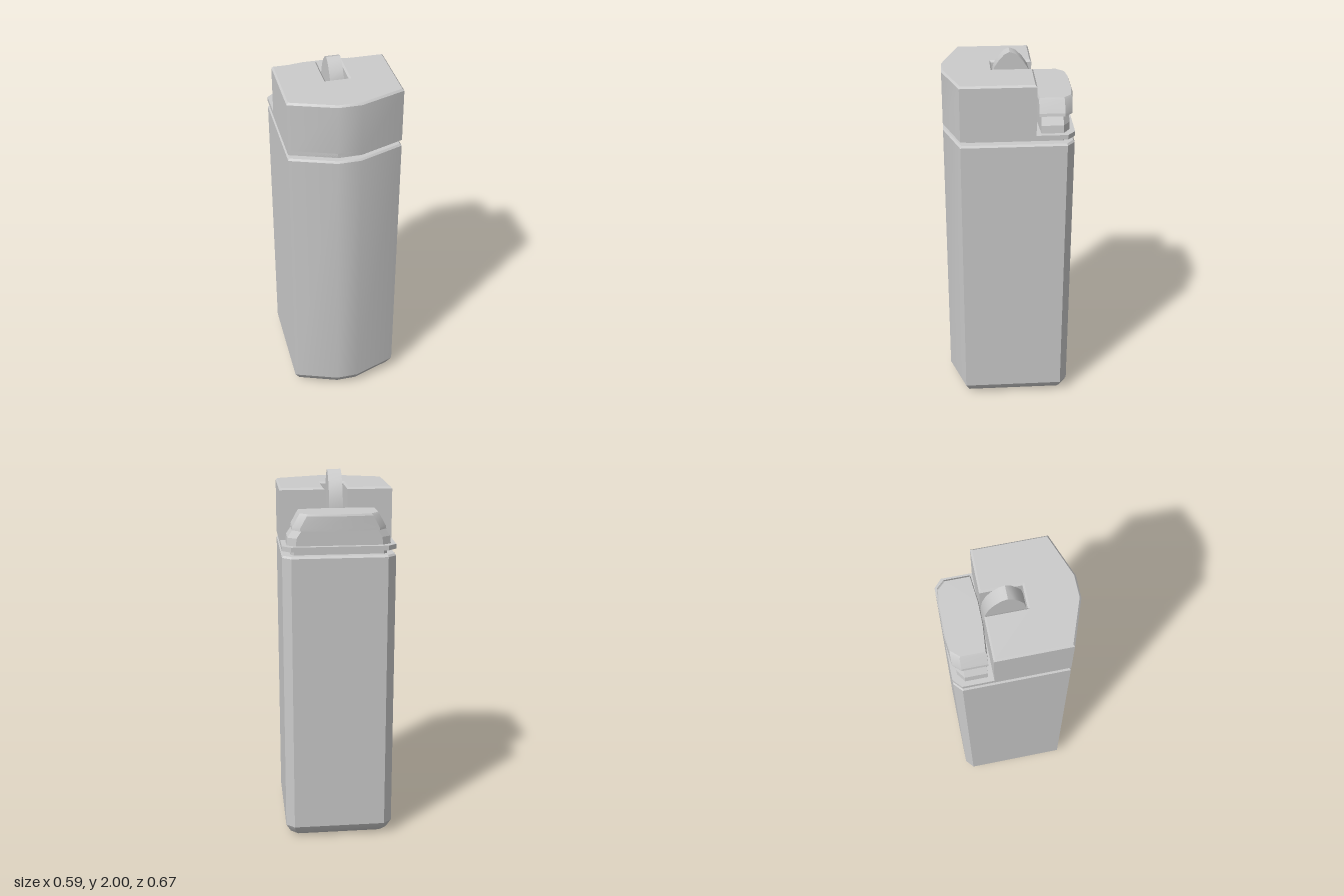
import * as THREE from 'three';
import { toCreasedNormals } from 'three/addons/utils/BufferGeometryUtils.js';

const material = new THREE.MeshStandardMaterial({ color: 0xcccccc });

// Mirror a half outline of [x, z] points (front to back) into a closed loop.
function mirrored(half) {
  return [...half, ...half.slice().reverse().map(([x, z]) => [-x, z])];
}

// Move every edge of an outline inwards by d, with mitred corners.
function inset(outline, d) {
  const n = outline.length;
  const normal = (a, b) => new THREE.Vector2(b[1] - a[1], a[0] - b[0]).normalize();
  return outline.map((p, i) => {
    const n1 = normal(outline[(i + n - 1) % n], p);
    const n2 = normal(p, outline[(i + 1) % n]);
    const k = d / (1 + n1.dot(n2));
    return [p[0] + (n1.x + n2.x) * k, p[1] + (n1.y + n2.y) * k];
  });
}

// Skin a stack of rings { y, points } from bottom to top and cap both ends.
function loft(name, rings, crease) {
  const pos = [];
  const put = (ring, i) => pos.push(ring.points[i][0], ring.y, ring.points[i][1]);
  const n = rings[0].points.length;
  for (let r = 0; r < rings.length - 1; r++) {
    const lo = rings[r], hi = rings[r + 1];
    for (let i = 0; i < n; i++) {
      const j = (i + 1) % n;
      put(lo, i); put(lo, j); put(hi, j);
      put(lo, i); put(hi, j); put(hi, i);
    }
  }
  const cap = (ring, up) => {
    const contour = ring.points.map(([x, z]) => new THREE.Vector2(x, -z));
    for (const [a, b, c] of THREE.ShapeUtils.triangulateShape(contour, [])) {
      for (const i of up ? [a, b, c] : [c, b, a]) put(ring, i);
    }
  };
  cap(rings[0], false);
  cap(rings[rings.length - 1], true);
  const geo = new THREE.BufferGeometry();
  geo.setAttribute('position', new THREE.Float32BufferAttribute(pos, 3));
  geo.computeVertexNormals();
  const mesh = new THREE.Mesh(toCreasedNormals(geo, crease), material);
  mesh.name = name;
  return mesh;
}

// Rings of one outline at [height, inset] steps.
const steps = (outline, list) => list.map(([y, d]) => ({ y, points: inset(outline, d) }));

export function createModel() {
  const model = new THREE.Group();
  model.name = 'lighter';

  const bodyOutline = mirrored([[0.06, 0.335], [0.295, 0.25], [0.295, -0.295], [0.25, -0.335]]);
  const hoodOutline = mirrored([[0.06, 0.335], [0.295, 0.25], [0.295, -0.135], [0.06, -0.135], [0.06, 0.075]]);

  // Fuel tank with rounded-off base
  model.add(loft('body', steps(bodyOutline, [[0, 0.06], [0.025, 0.025], [0.07, 0], [1.59, 0], [1.6, 0.008]]), 0.5));

  // Recessed neck and the plate above it
  model.add(loft('neck', steps(bodyOutline, [[1.595, 0.045], [1.63, 0.045]]), 0.5));
  model.add(loft('plate', steps(bodyOutline, [[1.625, 0], [1.65, 0]]), 0.3));

  // Hood with the wheel slot open to the back
  model.add(loft('hood', steps(hoodOutline, [[1.627, 0], [1.91, 0], [1.92, 0.009]]), 0.5));

  // Spark wheel: side profile in (z, y), extruded across the slot
  const profile = [
    [0.073, 1.645], [0.073, 1.87], [0.063, 1.92], [0.04, 1.955], [0.012, 1.987], [-0.015, 2],
    [-0.045, 1.99], [-0.082, 1.955], [-0.108, 1.915], [-0.127, 1.86], [-0.135, 1.8], [-0.135, 1.645],
  ];
  const wheelGeo = new THREE.ExtrudeGeometry(
    new THREE.Shape(profile.map(([z, y]) => new THREE.Vector2(z, y))),
    { depth: 0.072, bevelEnabled: false });
  wheelGeo.translate(0, 0, -0.036).rotateY(-Math.PI / 2);
  const wheel = new THREE.Mesh(toCreasedNormals(wheelGeo, 0.5), material);
  wheel.name = 'sparkWheel';
  model.add(wheel);

  // Thumb button: flared stem below, sloping-ended head above
  const stem = (w) => mirrored([[0.07, -0.15], [w, -0.162], [w, -0.275], [w - 0.045, -0.308]]);
  model.add(loft('buttonStem', [
    { y: 1.645, points: stem(0.27) },
    { y: 1.69, points: stem(0.265) },
    { y: 1.735, points: stem(0.235) },
  ], 0.2));

  const head = (w, d) => mirrored([
    [0.06, -0.14 - d], [w, -0.153 - d], [w, -0.284 + d], [w - 0.038, -0.325 + d], [0.09, -0.335 + d],
  ]);
  model.add(loft('buttonHead', [
    { y: 1.73, points: head(0.243, 0) },
    { y: 1.745, points: head(0.24, 0) },
    { y: 1.805, points: head(0.207, 0) },
    { y: 1.815, points: head(0.2, 0.004) },
  ], 0.3));

  return model;
}
